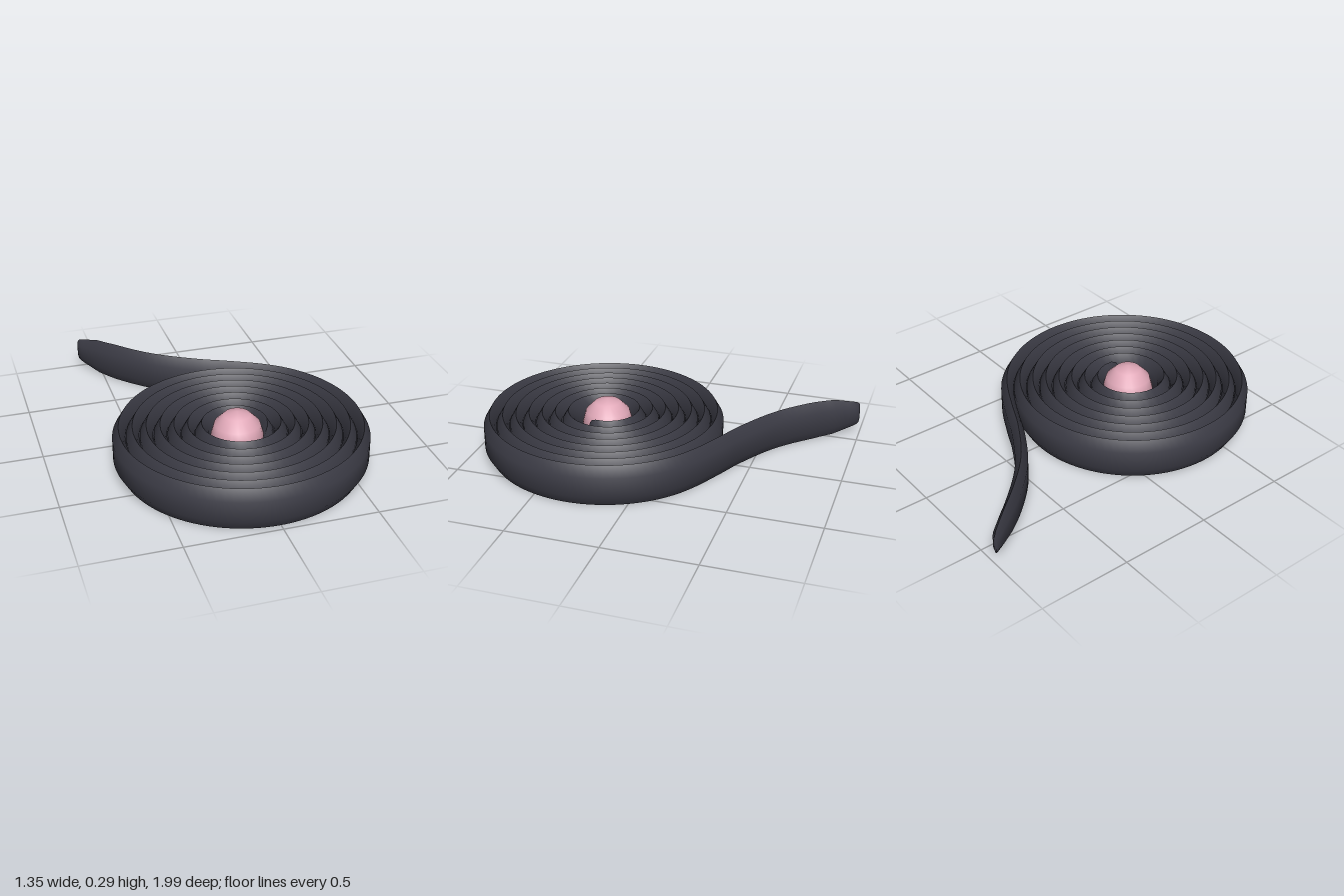
import * as THREE from 'three';
import { toCreasedNormals } from 'three/addons/utils/BufferGeometryUtils.js';

const CX = -0.016, CZ = 0.321;   // centre of the coil
const HALF_W = 0.034, MID_Y = 0.115;

// Six-sided strip section, pointed at top and bottom
const SECTION = [[1, -0.057], [1, 0.057], [0, 0.115], [-1, 0.057], [-1, -0.057], [0, -0.115]];

// Tapers as [distance from the end, width scale, height scale]
const HEAD = [[0, 0.3, 0.75], [0.012, 0.7, 0.9], [0.04, 1, 1]];
const TAIL = [[0, 0.2, 0.5], [0.015, 0.5, 0.6], [0.04, 0.65, 0.67], [0.16, 0.8, 0.93], [0.3, 0.9, 1], [0.7, 1, 1]];

function taper(table, d) {
  for (let i = 1; i < table.length; i++) {
    const a = table[i - 1], b = table[i];
    if (d <= b[0]) {
      const t = (d - a[0]) / (b[0] - a[0]);
      return [a[1] + (b[1] - a[1]) * t, a[2] + (b[2] - a[2]) * t];
    }
  }
  return [1, 1];
}

// Spiral of about seven turns that runs out into a loose tail
function stripPath() {
  const points = [];
  const start = -0.33, end = Math.PI * 2 * 7.17, n = 220;
  for (let i = 0; i <= n; i++) {
    const a = start + (end - start) * i / n;
    const r = 0.157 + 0.072 * a / (Math.PI * 2);
    points.push(new THREE.Vector3(CX + r * Math.cos(a), MID_Y, CZ - r * Math.sin(a)));
  }
  for (const [x, z] of [[0.12, -0.366], [-0.02, -0.432], [-0.26, -0.582], [-0.445, -0.765], [-0.617, -0.99]])
    points.push(new THREE.Vector3(x, MID_Y, z));
  const curve = new THREE.CatmullRomCurve3(points);
  curve.arcLengthDivisions = 3000;
  return curve;
}

function stripGeometry() {
  const curve = stripPath(), length = curve.getLength();
  const stops = [0, 0.012];
  const n = 480;
  for (let i = 0; i <= n; i++) stops.push(0.04 + (length - 0.08) * i / n);
  stops.push(length - 0.015, length);

  const pos = [], index = [], k = SECTION.length;
  for (const s of stops) {
    const u = Math.min(s / length, 1);
    const p = curve.getPointAt(u), t = curve.getTangentAt(u);
    const [w1, h1] = taper(HEAD, s), [w2, h2] = taper(TAIL, Math.max(length - s, 0));
    for (const [w, h] of SECTION) {
      const off = w * HALF_W * w1 * w2;
      pos.push(p.x + t.z * off, p.y + h * h1 * h2, p.z - t.x * off);
    }
  }
  for (let i = 0; i < stops.length - 1; i++)
    for (let j = 0; j < k; j++) {
      const a = i * k + j, b = i * k + (j + 1) % k;
      index.push(a, b, b + k, a, b + k, a + k);
    }
  // End caps
  const last = (stops.length - 1) * k;
  for (let j = 1; j < k - 1; j++) {
    index.push(0, j + 1, j);
    index.push(last, last + j, last + j + 1);
  }
  const g = new THREE.BufferGeometry();
  g.setAttribute('position', new THREE.Float32BufferAttribute(pos, 3));
  g.setIndex(index);
  return toCreasedNormals(g, 1);
}

export function createModel() {
  const black = new THREE.MeshStandardMaterial({ color: 0x3b3b45 });
  black.name = 'charcoal';
  const pink = new THREE.MeshStandardMaterial({ color: 0xe0a8b8 });
  pink.name = 'pink';

  const model = new THREE.Group();
  model.name = 'coiledSweet';

  const strip = new THREE.Mesh(stripGeometry(), black);
  strip.name = 'coiledStrip';
  model.add(strip);

  // Round sweet in the middle of the coil
  const ball = new THREE.Mesh(new THREE.SphereGeometry(0.14, 24, 6), pink);
  ball.name = 'centreBall';
  ball.position.set(-0.02, 0.15, 0.32);
  model.add(ball);

  return model;
}
